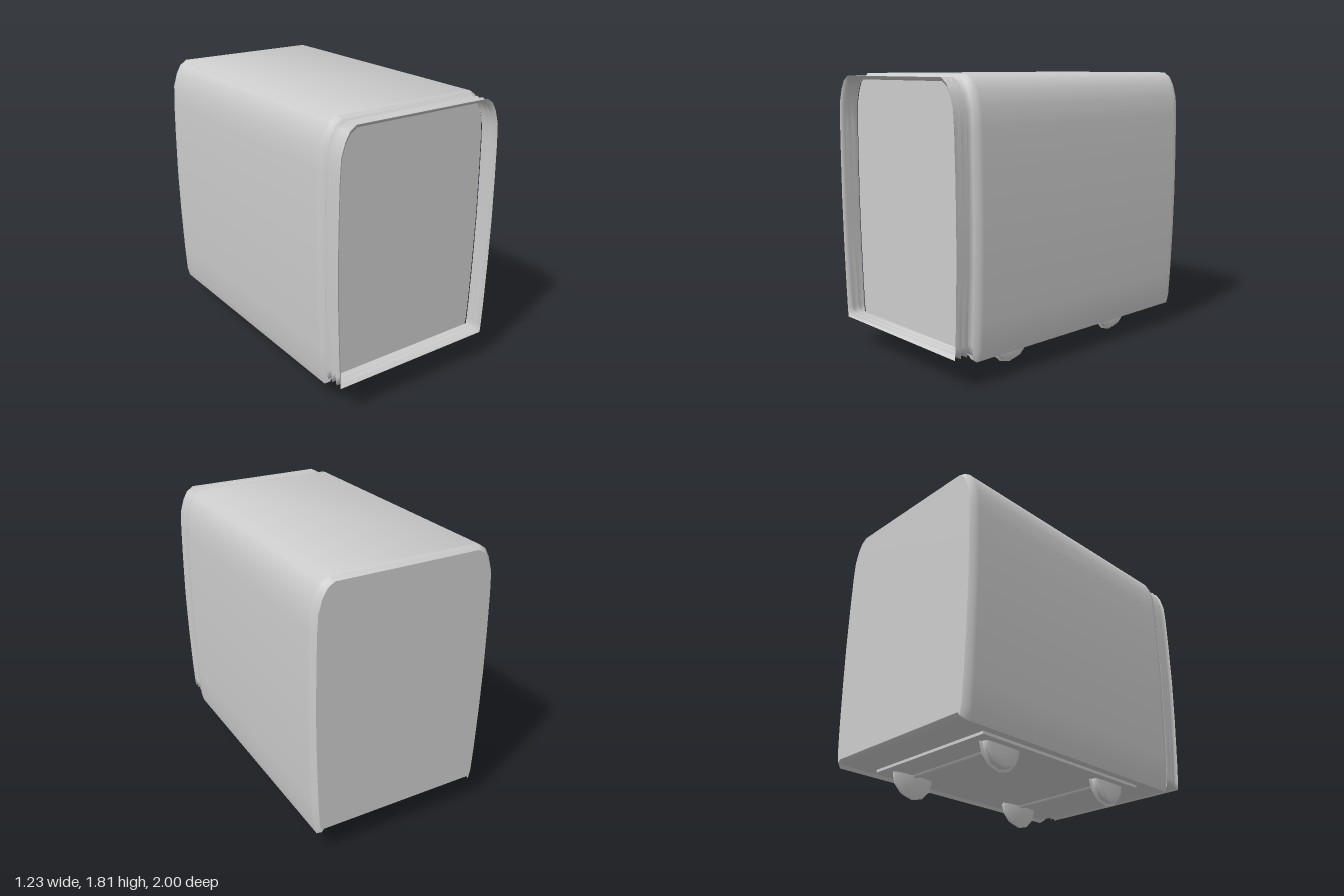
import * as THREE from 'three';
import { toCreasedNormals } from 'three/addons/utils/BufferGeometryUtils.js';

const MID = 1.0; // height about which sections shrink

// Right half of a section, bottom to top; mirrored into a closed loop
const upper = [[0.6, 0.4], [0.61, 0.7], [0.615, 1.0], [0.612, 1.3], [0.607, 1.52],
  [0.599, 1.645], [0.573, 1.73], [0.542, 1.785], [0.495, 1.817]];
const bodyHalf = [[0.56, 0.175], [0.575, 0.155], [0.59, 0.22], ...upper];
const bellowsHalf = [[0.587, 0.187], [0.592, 0.24], ...upper];

const mirrorLoop = half => [...half, ...half.slice().reverse().map(([x, y]) => [-x, y])];

// Shrink a section inward by d
const inset = (loop, d) => loop.map(([x, y]) => [x * (1 - d / 0.615), MID + (y - MID) * (1 - d / 0.82)]);

// Skin a loop through rings of [z, inset], ordered by rising z
function loft(loop, rings) {
  const pos = [], index = [], n = loop.length;
  rings.forEach(([z, d]) => inset(loop, d).forEach(([x, y]) => pos.push(x, y, z)));
  for (let i = 0; i < rings.length - 1; i++) {
    for (let j = 0; j < n; j++) {
      const a = i * n + j, b = i * n + (j + 1) % n;
      index.push(a, b, a + n, b, b + n, a + n);
    }
  }
  const g = new THREE.BufferGeometry();
  g.setAttribute('position', new THREE.Float32BufferAttribute(pos, 3));
  g.setIndex(index);
  g.computeVertexNormals();
  return g;
}

const capGeometry = (loop, d) =>
  new THREE.ShapeGeometry(new THREE.Shape(inset(loop, d).map(p => new THREE.Vector2(...p))));

export function createModel() {
  const model = new THREE.Group();
  model.name = 'railCar';
  const grey = new THREE.MeshStandardMaterial({ color: 0xcccccc, side: THREE.DoubleSide });
  grey.name = 'plainGrey';

  const add = (name, geometry, x = 0, y = 0, z = 0) => {
    const mesh = new THREE.Mesh(geometry, grey);
    mesh.name = name;
    mesh.position.set(x, y, z);
    model.add(mesh);
    return mesh;
  };

  // Car body with chamfered ends
  const bodyLoop = mirrorLoop(bodyHalf);
  const shell = loft(bodyLoop, [[-1, 0.022], [-0.97, 0], [-0.94, 0], [0.81, 0], [0.84, 0], [0.87, 0.022]]);
  add('bodyShell', toCreasedNormals(shell, 0.8));
  add('frontWall', capGeometry(bodyLoop, 0.022), 0, 0, 0.87);
  add('backWall', capGeometry(bodyLoop, 0.022), 0, 0, -1).rotation.y = Math.PI;

  // Open folded gangway at the front
  const folds = [];
  for (let i = 0; i <= 6; i++) folds.push([0.87 + i * 0.13 / 6, i % 2 ? 0.038 : 0.016]);
  add('gangwayBellows', loft(mirrorLoop(bellowsHalf), folds));

  // Underfloor plate
  add('underPlate', new THREE.BoxGeometry(0.97, 0.02, 1.4), 0, 0.167, -0.06);

  // Flanged wheels: radius and offset from the outer face inward
  const wheelProfile = [[0, 0], [0.09, 0], [0.125, 0.004], [0.137, 0.01], [0.143, 0.038],
    [0.16, 0.043], [0.155, 0.05], [0.12, 0.062], [0.07, 0.07], [0, 0.072]]
    .map(([r, t]) => new THREE.Vector2(r, t));
  const wheel = toCreasedNormals(new THREE.LatheGeometry(wheelProfile, 12), 0.6);
  for (const z of [0.42, -0.545]) {
    for (const side of [1, -1]) {
      add(side > 0 ? 'leftWheel' : 'rightWheel', wheel, side * 0.435, 0.165, z).rotation.z = side * Math.PI / 2;
    }
    const axle = add('axle', new THREE.CylinderGeometry(0.025, 0.025, 0.76, 10), 0, 0.167, z);
    axle.rotation.z = Math.PI / 2;
  }
  return model;
}
